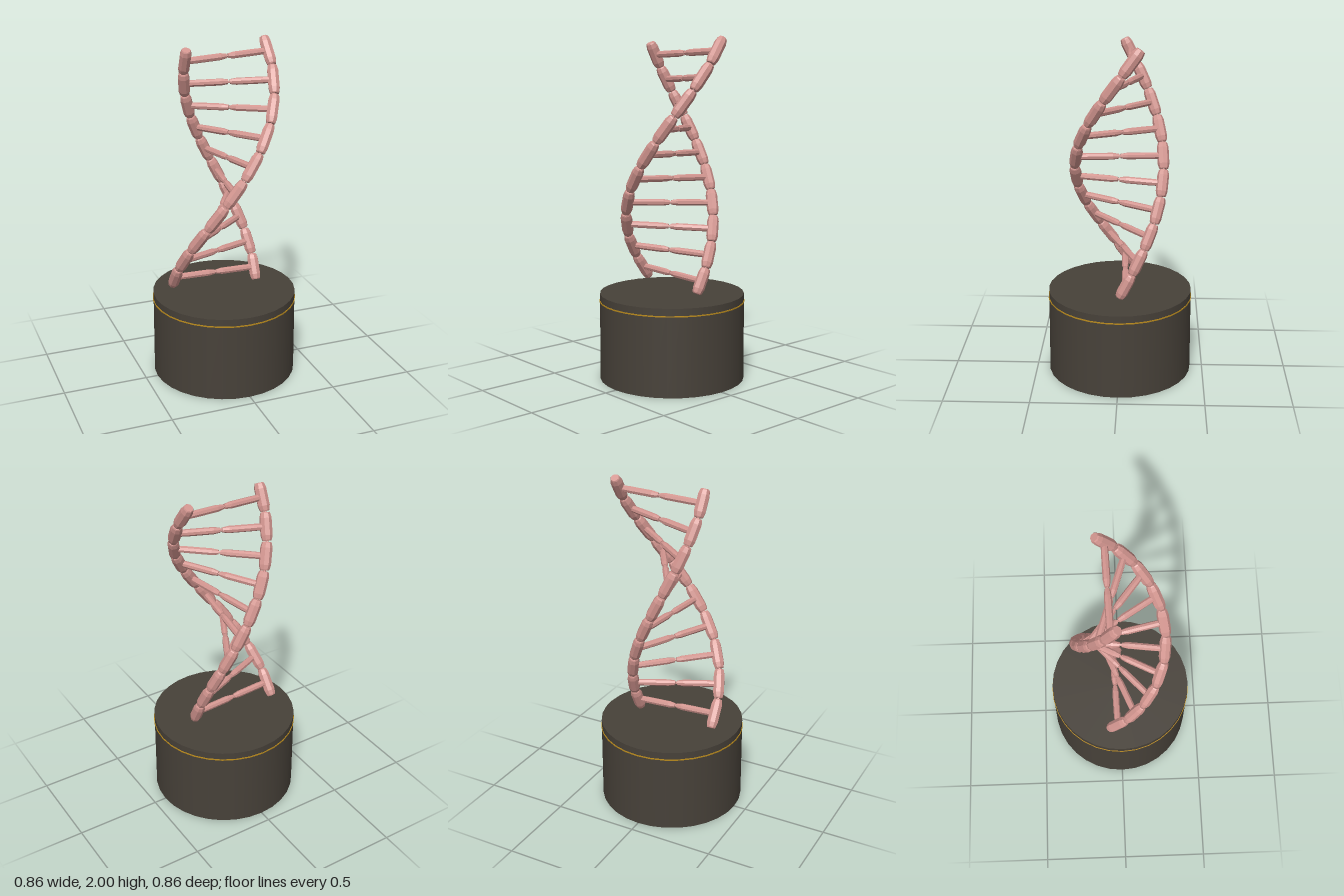
import * as THREE from 'three';

const RUNGS = 10;

const strandMat = new THREE.MeshStandardMaterial({ color: 0xd2958f, flatShading: true });
strandMat.name = 'dusty pink';
const baseMat = new THREE.MeshStandardMaterial({ color: 0x474139 });
baseMat.name = 'dark stone';
const goldMat = new THREE.MeshStandardMaterial({ color: 0xb8891c });
goldMat.name = 'gold';

// Point on a helix strand; t runs 0..RUNGS-1, whole numbers sit at the rungs
function strandPoint(s, t) {
  const f = t / (RUNGS - 1);
  const a = THREE.MathUtils.degToRad(s.from + (s.to - s.from) * f);
  return new THREE.Vector3(s.radius * Math.cos(a), s.y0 + (s.y1 - s.y0) * f, -0.04 + s.radius * Math.sin(a));
}

// Turned rod between two points; profile is [radius, fraction of the length]
function rod(name, a, b, profile, sides) {
  const length = a.distanceTo(b);
  const points = profile.map(([r, f]) => new THREE.Vector2(r, (f - 0.5) * length));
  const mesh = new THREE.Mesh(new THREE.LatheGeometry(points, sides), strandMat);
  mesh.name = name;
  mesh.position.copy(a).add(b).multiplyScalar(0.5);
  mesh.quaternion.setFromUnitVectors(new THREE.Vector3(0, 1, 0), b.clone().sub(a).normalize());
  return mesh;
}

const linkProfile = [[0, 0], [0.024, 0], [0.028, 0.04], [0.034, 0.2], [0.034, 0.8], [0.028, 0.96], [0.024, 1], [0, 1]];
const barProfile = [[0, 0], [0.018, 0], [0.02, 0.3], [0.02, 0.85], [0.014, 1], [0, 1]];
const pinProfile = [[0, 0], [0.008, 0], [0.008, 1], [0, 1]];

export function createModel() {
  const model = new THREE.Group();
  model.name = 'doubleHelixTrophy';

  // Round pedestal with a thin inlaid band
  const base = new THREE.Mesh(new THREE.CylinderGeometry(0.424, 0.427, 0.51, 32), baseMat);
  base.name = 'pedestal';
  base.position.y = 0.255;
  const band = new THREE.Mesh(new THREE.CylinderGeometry(0.428, 0.428, 0.007, 32), goldMat);
  band.name = 'goldBand';
  band.position.y = 0.465;
  model.add(base, band);

  // Two strands of faceted links
  const strands = [
    { name: 'wideStrand', radius: 0.3, from: 177, to: -6, y0: 0.62, y1: 1.915 },
    { name: 'narrowStrand', radius: 0.213, from: 0, to: -176, y0: 0.603, y1: 1.895 },
  ];
  for (const s of strands) {
    const group = new THREE.Group();
    group.name = s.name;
    for (let i = 0; i < RUNGS; i++) {
      group.add(rod('link', strandPoint(s, i - 0.485), strandPoint(s, i + 0.485), linkProfile, 8));
      // Small pin bridging the gap to the next link
      if (i < RUNGS - 1) group.add(rod('linkPin', strandPoint(s, i + 0.44), strandPoint(s, i + 0.56), pinProfile, 6));
    }
    model.add(group);
  }

  // Rungs, each two bars meeting at a narrow pin
  for (let i = 0; i < RUNGS; i++) {
    const rung = new THREE.Group();
    rung.name = 'rung';
    const a = strandPoint(strands[0], i);
    const b = strandPoint(strands[1], i);
    const at = (f) => a.clone().lerp(b, f);
    rung.add(
      rod('rungBar', a, at(0.49), barProfile, 8),
      rod('rungBar', b, at(0.51), barProfile, 8),
      rod('rungPin', at(0.47), at(0.53), pinProfile, 6),
    );
    model.add(rung);
  }
  return model;
}
